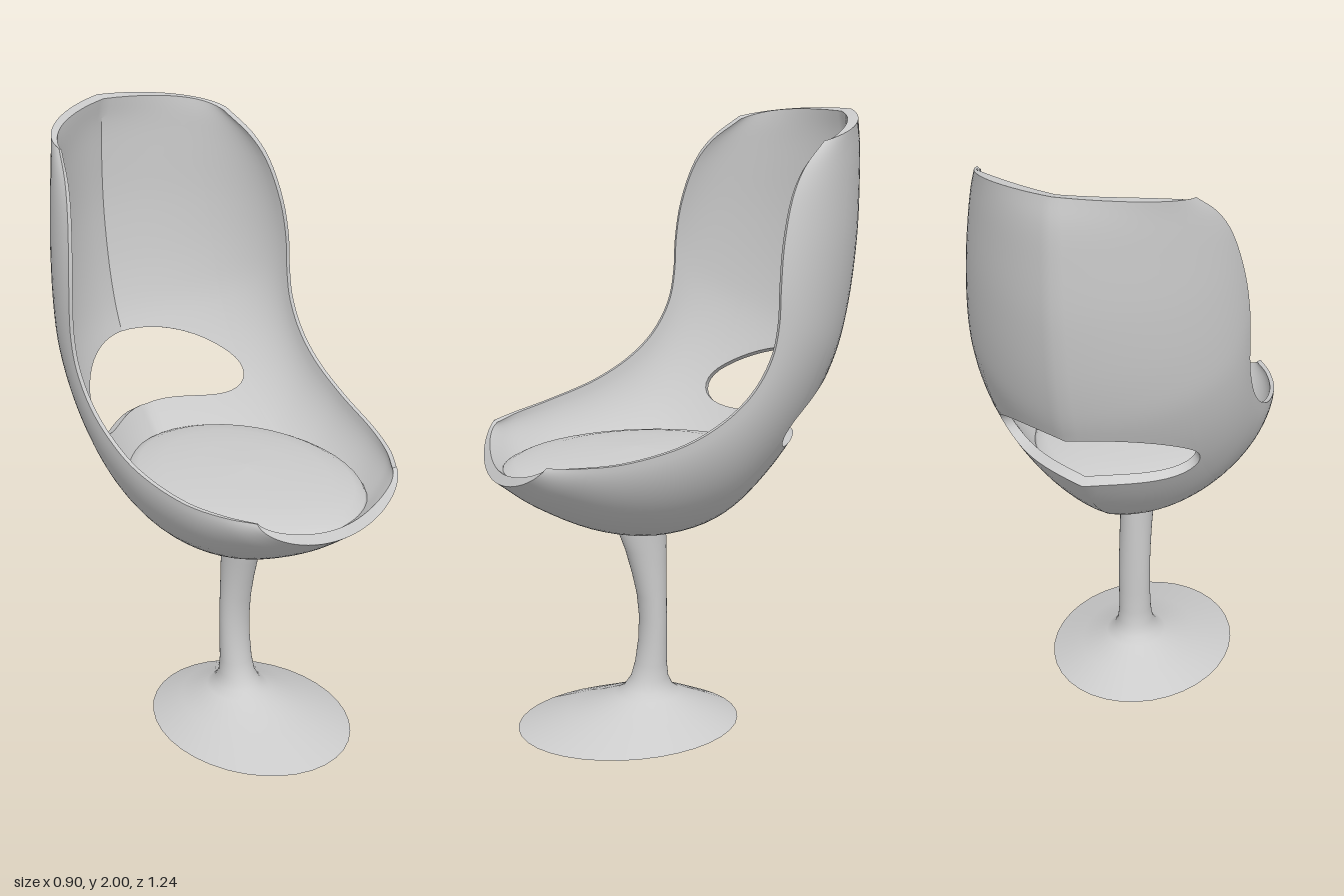
import * as THREE from 'three';
import { mergeGeometries, toCreasedNormals } from 'three/addons/utils/BufferGeometryUtils.js';

const V = (x, y, z) => new THREE.Vector3(x, y, z);
const { clamp, lerp, smoothstep } = THREE.MathUtils;
const material = new THREE.MeshStandardMaterial({ color: 0xcccccc, side: THREE.DoubleSide });

// Surface from a rule fn(i, j); the outside is where di x dj points.
function grid(n, m, fn) {
  const pos = [], index = [];
  for (let j = 0; j <= m; j++) {
    for (let i = 0; i <= n; i++) {
      pos.push(...fn(i, j).toArray());
      if (i < n && j < m) {
        const a = j * (n + 1) + i, b = a + 1, c = a + n + 1, d = c + 1;
        index.push(a, b, c, b, d, c);
      }
    }
  }
  const g = new THREE.BufferGeometry();
  g.setAttribute('position', new THREE.Float32BufferAttribute(pos, 3));
  g.setIndex(index);
  return g;
}

// Smooth shading with sharp edges (scaled up so that thin edges stay apart).
function smooth(g) {
  return toCreasedNormals(g.scale(100, 100, 100), 0.6).scale(0.01, 0.01, 0.01);
}

// Shell guides, front lip to top: keel along the centre line, rim along the side.
const keel = new THREE.CatmullRomCurve3([
  [0.89, 0.62], [0.8, 0.5], [0.7, 0.3], [0.66, 0.1], [0.69, -0.1], [0.79, -0.25], [0.96, -0.4],
  [1.19, -0.53], [1.35, -0.58], [1.6, -0.615], [1.8, -0.62], [1.92, -0.615], [2.0, -0.6],
].map(([y, z]) => V(0, y, z)));
const rim = new THREE.CatmullRomCurve3([
  [0.29, 1.0, 0.53], [0.345, 1.005, 0.45], [0.4, 1.02, 0.32], [0.435, 1.07, 0.13],
  [0.443, 1.14, 0], [0.447, 1.22, -0.085], [0.45, 1.32, -0.14], [0.452, 1.42, -0.16],
  [0.45, 1.53, -0.165], [0.435, 1.66, -0.18], [0.405, 1.8, -0.22], [0.375, 1.88, -0.27],
  [0.335, 1.95, -0.35],
].map((p) => V(...p)));
const LAST = 12;

// Point on the outer skin: s along the keel, a from keel (0) to rim (PI / 2).
function skin(s, a) {
  const k = keel.getPoint(s / LAST), r = rim.getPoint(s / LAST);
  const f = Math.sin(a);
  const ridge = lerp(2, 1, smoothstep(s, 2, 6)); // the back has a soft centre ridge
  const d = 0.75 * (1 - Math.cos(a)) + 0.25 * Math.pow(f, ridge);
  return V(r.x * f, lerp(k.y, r.y, d), lerp(k.z, r.z, d));
}

// Point moved inward by a share of the wall thickness.
function wall(s, a, depth, side) {
  const p = skin(s, a), e = 0.01;
  if (depth > 0) {
    const sc = clamp(s, e, LAST - e), ac = clamp(a, e, Math.PI / 2 - e);
    const n = skin(sc + e, ac).sub(skin(sc - e, ac))
      .cross(skin(sc, ac + e).sub(skin(sc, ac - e)));
    if (a === 0) n.x = 0;
    const thickness = 0.035 * (1 - 0.6 * Math.sin(a) ** 4);
    p.addScaledVector(n.normalize(), -depth * thickness);
  }
  p.x *= side;
  return p;
}

function shellGeometry() {
  const holeEnd = 0.737, inHole = 14, outside = 10;
  const half = [];
  for (let i = 0; i <= inHole; i++) {
    half.push(Math.asin(holeEnd * Math.sin((Math.PI / 2) * (i / inHole))));
  }
  for (let i = 1; i <= outside; i++) half.push(lerp(Math.asin(holeEnd), Math.PI / 2, i / outside));
  const top = half.length - 1;

  // Keel position of the hole's lower (-1) and upper (+1) edge.
  const holeEdge = (a, sign) => {
    const f = Math.sin(a), q = Math.min(1, f / holeEnd);
    const h = (0.5 + 0.12 * q * q) * Math.sqrt(Math.max(0, 1 - q ** 5));
    return 6.5 - 1.6 * f * f + sign * (h < 1e-6 ? 0 : h);
  };

  // Closed loop along outer and inner skin; first and last columns cap the rim.
  const rows = 28;
  const patch = (from, to) => grid(2 * rows + 2, 2 * top + 2, (i, j) => {
    const col = clamp(j - 1, 0, 2 * top) - top;
    const a = half[Math.abs(col)];
    const cap = j === 0 || j === 2 * top + 2;
    const inner = i > rows && i < 2 * rows + 2;
    const row = i <= rows ? i : inner ? 2 * rows + 1 - i : 0;
    const s = lerp(from(a), to(a), row / rows);
    return wall(s, a, cap ? 0.5 : inner ? 1 : 0, col < 0 ? -1 : 1);
  });
  return smooth(mergeGeometries([
    patch(() => 0, (a) => holeEdge(a, -1)),
    patch((a) => holeEdge(a, 1), () => LAST),
  ]));
}

// Foot and stem as stacked ellipses: y, half-width, front z, back z.
function pedestalGeometry() {
  const rings = [
    [0, 0, 0.175, 0.175], [0, 0.305, 0.545, -0.2], [0.05, 0.195, 0.37, -0.1],
    [0.095, 0.1, 0.215, -0.005], [0.115, 0.075, 0.185, 0.02], [0.15, 0.06, 0.16, 0.035],
    [0.2, 0.055, 0.145, 0.04], [0.28, 0.054, 0.133, 0.04], [0.36, 0.054, 0.13, 0.04],
    [0.44, 0.054, 0.138, 0.04], [0.52, 0.054, 0.156, 0.04], [0.6, 0.055, 0.178, 0.04],
    [0.66, 0.057, 0.2, 0.04], [0.685, 0.058, 0.205, 0.04],
  ];
  const sides = 36;
  return smooth(grid(sides, rings.length - 1, (i, j) => {
    const [y, rx, zf, zb] = rings[j];
    const t = ((i % sides) / sides) * Math.PI * 2;
    return V(0.005 + rx * Math.cos(t), y, (zf + zb) / 2 - ((zf - zb) / 2) * Math.sin(t));
  }));
}

// Flat oval cushion with a gently domed top.
function cushionGeometry() {
  const profile = [[0, 0.872], [0.95, 0.872], [0.99, 0.88], [1, 0.89], [0.98, 0.902],
    [0.9, 0.918], [0.7, 0.935], [0.4, 0.947], [0, 0.952]];
  const g = new THREE.LatheGeometry(profile.map(([x, y]) => new THREE.Vector2(x, y)), 40);
  return g.scale(0.34, 1, 0.44).translate(0, 0, 0.142);
}

export function createModel() {
  const group = new THREE.Group();
  group.name = 'chair';
  const add = (name, geometry) => {
    const mesh = new THREE.Mesh(geometry, material);
    mesh.name = name;
    group.add(mesh);
  };
  add('shell', shellGeometry());
  add('cushion', cushionGeometry());
  add('pedestal', pedestalGeometry());
  return group;
}
